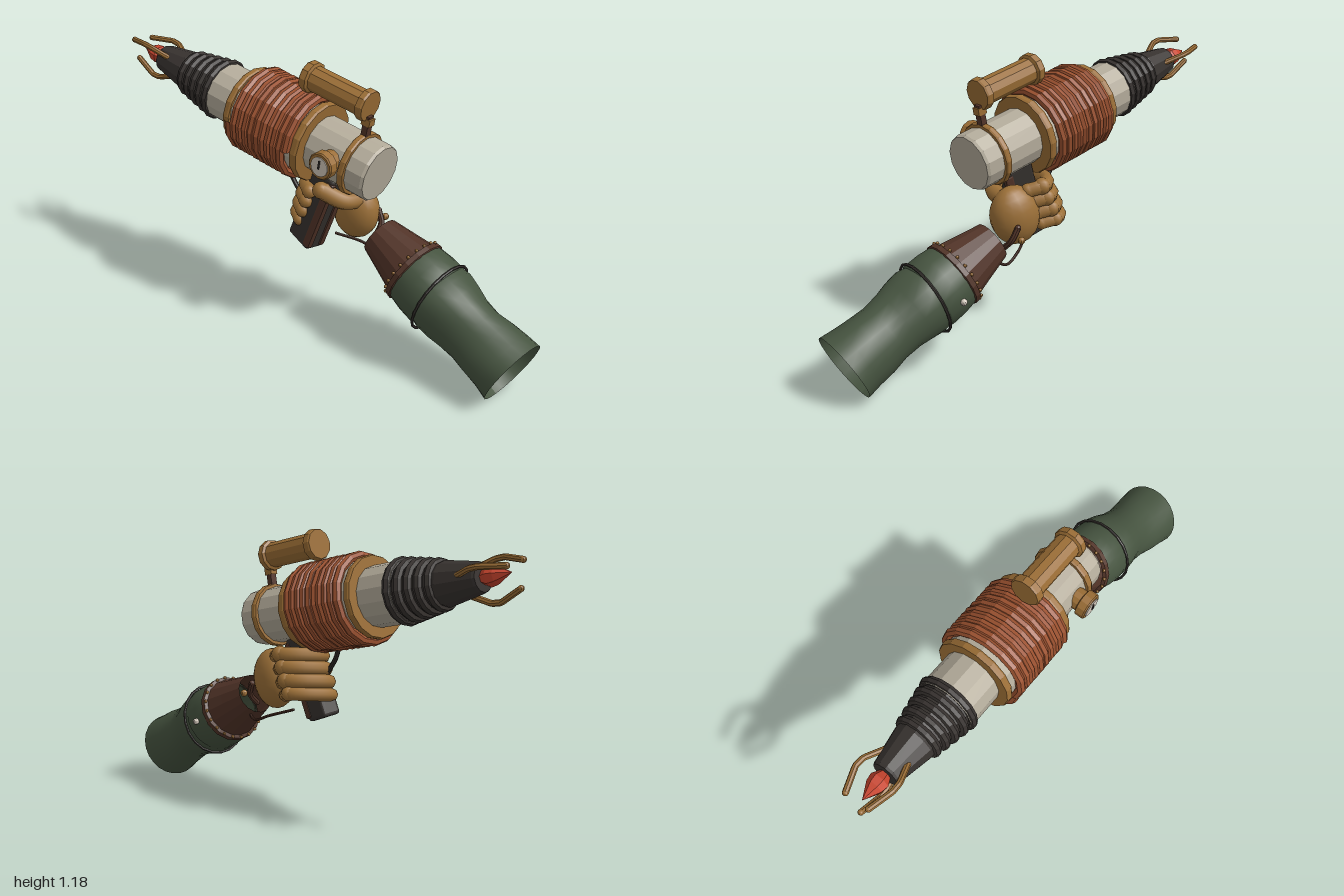
import * as THREE from 'three';
import { RoundedBoxGeometry } from 'three/addons/geometries/RoundedBoxGeometry.js';

const V = (x, y, z) => new THREE.Vector3(x, y, z);

export function createModel() {
  const model = new THREE.Group();
  model.name = 'gauntletAndRayGun';

  const material = (name, color, flat = true, side = THREE.FrontSide) => {
    const m = new THREE.MeshStandardMaterial({ color, flatShading: flat, side });
    m.name = name;
    return m;
  };
  const steel = material('steel', 0xb3ab9a);
  const brass = material('brass', 0x9a6d35);
  const glove = material('gloveTan', 0x9c7038, false);
  const copper = material('copper', 0x9c5230);
  const black = material('blackRubber', 0x37322f);
  const brown = material('brownLeather', 0x523428, true, THREE.DoubleSide);
  const green = material('greenCloth', 0x465440, false, THREE.DoubleSide);
  const red = material('redCrystal', 0xc8452e);
  const pale = material('paleEnamel', 0xd2c8bb);

  const add = (parent, name, geometry, mat, pos) => {
    const mesh = new THREE.Mesh(geometry, mat);
    mesh.name = name;
    if (pos) mesh.position.copy(pos);
    parent.add(mesh);
    return mesh;
  };
  // Turned part along local +z; profile pairs are [distance, radius]
  const turned = (parent, name, profile, mat, sides = 14) => {
    const g = new THREE.LatheGeometry(profile.map(([s, r]) => new THREE.Vector2(r, s)), sides);
    return add(parent, name, g.rotateX(Math.PI / 2), mat);
  };
  const band = (parent, name, s, r, w, mat, inner = r - 0.025) => turned(parent, name,
    [[s - w / 2, inner], [s - w / 2, r - 0.004], [s - w / 4, r], [s + w / 4, r], [s + w / 2, r - 0.004], [s + w / 2, inner]], mat, 16);
  const ball = (parent, name, r, mat, pos) =>
    add(parent, name, new THREE.SphereGeometry(r, 10, 8), mat, pos);
  // Rounded tube through points
  const tube = (parent, name, pts, r, mat, straight = false) => {
    let curve = new THREE.CatmullRomCurve3(pts);
    if (straight) {
      curve = new THREE.CurvePath();
      for (let i = 1; i < pts.length; i++) curve.add(new THREE.LineCurve3(pts[i - 1], pts[i]));
    }
    const g = new THREE.Group();
    g.name = name;
    parent.add(g);
    add(g, name + 'Body', new THREE.TubeGeometry(curve, 20, r, 8), mat);
    for (const p of [pts[0], pts[pts.length - 1]]) ball(g, name + 'End', r, mat, p);
    return g;
  };
  // Group whose +z runs from one point toward another
  const aimed = (name, from, to) => {
    const g = new THREE.Group();
    g.name = name;
    g.position.copy(from);
    g.lookAt(to);
    model.add(g);
    return g;
  };

  // ---- Gun: local z forward from the rear cap, local x is the model's right ----
  const gun = aimed('rayGun', V(0.03, 0.8, 0.31), V(-0.2, 1.02, -0.84));
  turned(gun, 'rearBarrel', [[0, 0], [0, 0.114], [0.012, 0.12], [0.32, 0.12]], steel);
  band(gun, 'rearBand', 0.1, 0.136, 0.028, brass);
  band(gun, 'coilRearBand', 0.31, 0.172, 0.035, brass, 0.1);
  turned(gun, 'coilCore', [[0.32, 0.1], [0.32, 0.155], [0.66, 0.155], [0.66, 0.1]], steel);
  band(gun, 'coilFrontBand', 0.675, 0.168, 0.03, brass, 0.1);
  turned(gun, 'frontBarrel', [[0.66, 0.123], [0.86, 0.123]], steel);

  // Copper winding
  class Helix extends THREE.Curve {
    getPoint(t, out = new THREE.Vector3()) {
      const a = t * Math.PI * 20;
      return out.set(Math.cos(a) * 0.173, Math.sin(a) * 0.173, 0.343 + t * 0.305);
    }
  }
  add(gun, 'copperCoil', new THREE.TubeGeometry(new Helix(), 160, 0.019, 7), copper);

  // Ribbed muzzle
  turned(gun, 'muzzleCone', [[0.83, 0.1], [0.83, 0.115], [1.02, 0.085], [1.04, 0.088], [1.19, 0.06], [1.2, 0.055], [1.2, 0]], black, 12);
  for (let i = 0; i < 5; i++) {
    add(gun, 'muzzleRib', new THREE.TorusGeometry(0.118 - i * 0.008, 0.018, 7, 16), black, V(0, 0, 0.84 + i * 0.043));
  }
  turned(gun, 'crystal', [[1.19, 0.02], [1.23, 0.041], [1.26, 0.036], [1.325, 0]], red, 7);

  // Three bent prongs around the crystal
  for (const deg of [140, 20, 260]) {
    const a = THREE.MathUtils.degToRad(deg);
    const p = (r, s) => V(-Math.cos(a) * r, Math.sin(a) * r, s);
    tube(gun, 'prong', [p(0.06, 1.13), p(0.098, 1.21), p(0.1, 1.25), p(0.062, 1.345)], 0.0125, brass, true);
  }

  // Scope on its post
  const scope = new THREE.Group();
  scope.name = 'scope';
  scope.position.set(0, 0.255, 0.1);
  gun.add(scope);
  turned(scope, 'scopeTube', [[0, 0], [0, 0.062], [0.008, 0.066], [0.03, 0.066], [0.036, 0.054], [0.274, 0.054],
    [0.28, 0.066], [0.305, 0.066], [0.312, 0.062], [0.312, 0]], brass, 11);
  add(gun, 'scopePost', new THREE.BoxGeometry(0.03, 0.1, 0.026), brown, V(0, 0.165, 0.1));
  add(gun, 'scopeSaddle', new THREE.BoxGeometry(0.035, 0.03, 0.04), brass, V(0, 0.19, 0.1));

  // Side dial
  const dial = new THREE.Group();
  dial.name = 'dial';
  dial.position.set(0.12, 0.02, 0.165);
  dial.rotation.y = Math.PI / 2;
  gun.add(dial);
  turned(dial, 'dialCase', [[-0.02, 0.045], [0.015, 0.045], [0.02, 0.057], [0.055, 0.057], [0.06, 0.052], [0.06, 0]], brass, 12);
  turned(dial, 'dialFace', [[0.06, 0.041], [0.064, 0.041], [0.064, 0]], pale, 12);
  add(dial, 'dialNeedle', new THREE.BoxGeometry(0.007, 0.036, 0.004), black, V(0, 0.01, 0.067));

  // Grip with leather strips
  const top = V(-0.02, 0.74, 0.075), bottom = V(-0.07, 0.4, -0.04);
  const grip = new THREE.Group();
  grip.name = 'grip';
  grip.position.copy(top).add(bottom).multiplyScalar(0.5);
  grip.quaternion.setFromUnitVectors(V(0, 1, 0), top.clone().sub(bottom).normalize());
  model.add(grip);
  const len = top.distanceTo(bottom);
  add(grip, 'gripCore', new RoundedBoxGeometry(0.085, len, 0.13, 2, 0.014), black);
  for (const x of [-1, 1]) {
    add(grip, 'gripStrip', new RoundedBoxGeometry(0.028, len - 0.03, 0.04, 1, 0.008), brown, V(x * 0.033, 0, 0.053));
  }
  tube(model, 'triggerGuard', [V(-0.06, 0.7, -0.15), V(-0.06, 0.66, -0.13), V(-0.05, 0.57, -0.06)], 0.01, black);

  // ---- Gloved hand ----
  const hand = new THREE.Group();
  hand.name = 'hand';
  model.add(hand);
  const palm = ball(hand, 'palm', 1, glove, V(0.075, 0.56, 0.125));
  palm.geometry = new THREE.SphereGeometry(1, 16, 12);
  palm.scale.set(0.083, 0.128, 0.11);
  palm.rotation.x = 0.25;
  for (let i = 0; i < 4; i++) {
    const y = 0.675 - i * 0.052, z = -i * 0.022, r = 0.031 - (i === 3 ? 0.004 : 0);
    tube(hand, 'finger', [V(0.095, y - 0.015, z + 0.075), V(0.115, y, z + 0.015), V(0.06, y, z - 0.035),
      V(-0.05, y - 0.01, z - 0.045), V(-0.09, y - 0.02, z + 0.02)], r, glove);
    ball(hand, 'knuckle', r * 1.15, glove, V(0.115, y, z + 0.02));
  }
  tube(hand, 'thumb', [V(0.05, 0.63, 0.17), V(-0.03, 0.645, 0.165), V(-0.095, 0.69, 0.1)], 0.036, glove);
  tube(hand, 'handStrap', [V(0.12, 0.45, 0.2), V(0.158, 0.49, 0.19), V(0.165, 0.54, 0.165)], 0.013, brown);
  ball(hand, 'strapStud', 0.015, brass, V(0.2, 0.5, 0.17));
  tube(hand, 'cord', [V(0.13, 0.41, 0.26), V(0.13, 0.375, 0.2), V(0.1, 0.4, 0.13), V(0.03, 0.43, 0.05)], 0.006, brown);

  // ---- Forearm: local z from the elbow toward the wrist ----
  const arm = aimed('forearm', V(0.165, 0.14, 0.935), V(0.097, 0.478, 0.25));
  const sleeve = turned(arm, 'sleeve', [[0, 0.147], [0.06, 0.14], [0.13, 0.134], [0.2, 0.125], [0.27, 0.13], [0.33, 0.142], [0.39, 0.149], [0.43, 0.142]], green, 24);
  // Soft cloth folds
  const pos = sleeve.geometry.attributes.position;
  for (let i = 0; i < pos.count; i++) {
    const x = pos.getX(i), y = pos.getY(i), s = pos.getZ(i);
    const k = 1 + 0.03 * Math.sin(3 * Math.atan2(y, x) + s * 16) * Math.min(1, s * 12);
    pos.setXY(i, x * k, y * k);
  }
  sleeve.geometry.computeVertexNormals();
  turned(arm, 'sleeveCuff', [[0.42, 0.137], [0.425, 0.149], [0.49, 0.148], [0.56, 0.139], [0.565, 0.13]], green, 24);
  const strap = add(arm, 'sleeveStrap', new THREE.TorusGeometry(0.157, 0.006, 6, 20), black, V(0, 0, 0.41));
  strap.rotation.x = 0.12;
  ball(arm, 'cuffButton', 0.014, pale, V(-0.152, -0.02, 0.49));

  // Leather gauntlet with a studded rim
  turned(arm, 'gauntlet', [[0.545, 0.14], [0.55, 0.147], [0.572, 0.145], [0.576, 0.13], [0.66, 0.11], [0.77, 0.085]], brown, 16);
  for (let i = 0; i < 20; i++) {
    const a = i / 20 * Math.PI * 2;
    ball(arm, 'rimStud', 0.0075, brass, V(Math.cos(a) * 0.14, Math.sin(a) * 0.14, 0.578));
  }
  return model;
}
